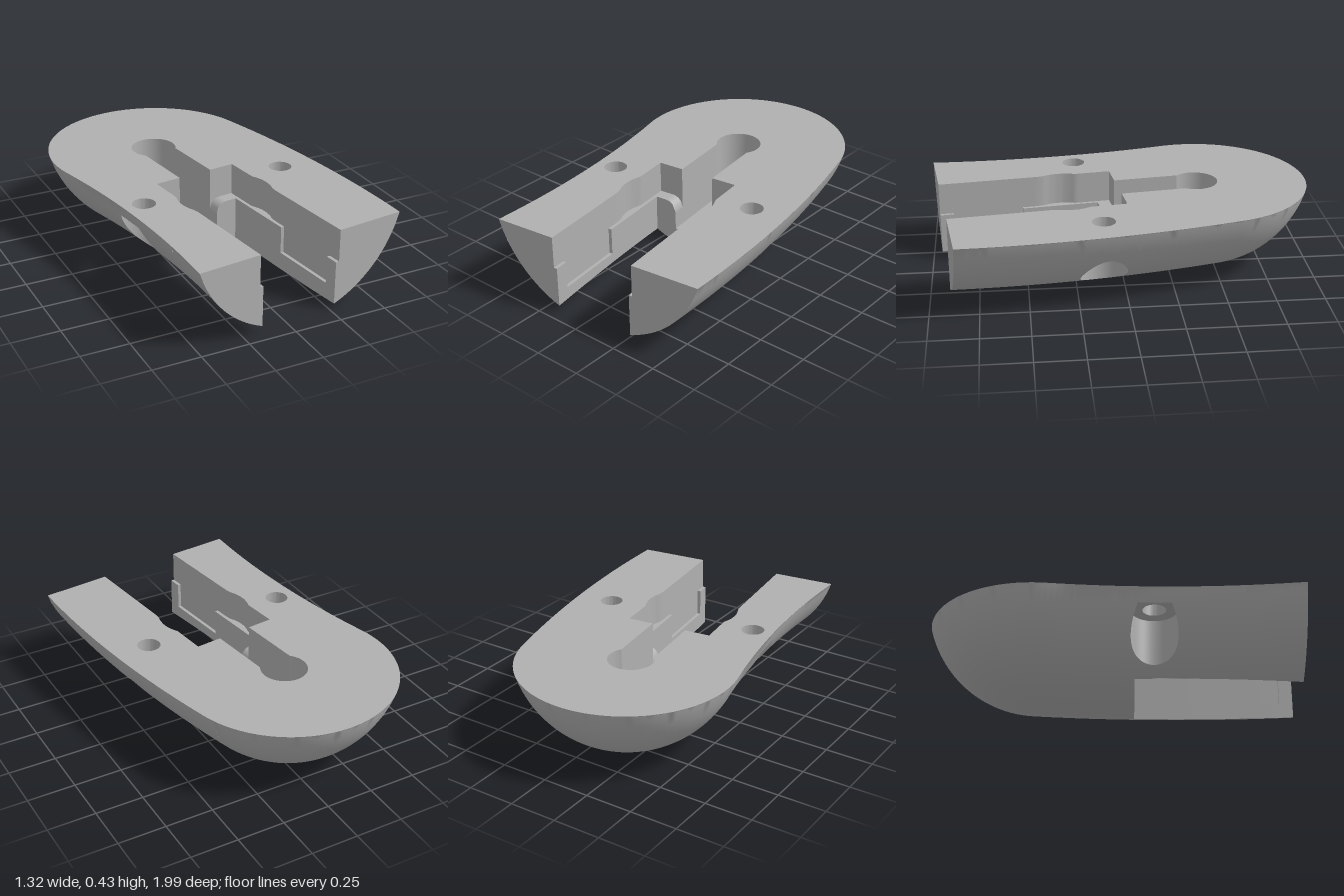
import * as THREE from 'three';
import { toCreasedNormals } from 'three/addons/utils/BufferGeometryUtils.js';

const V = (x, z) => new THREE.Vector2(x, z);
const TOP = 0.43;      // height of the flat top
const LEDGE = 0.26;    // ledge around the slot
const NOTCH = 0.115;   // floor of the side notches
const KEY = 0.1;       // floor of the keyhole
const BORE = 0.355;    // ceiling of the counterbores

// Body: a round-bottomed section swept along a gentle arc, ending in a round head
const ARC = { x: -5.325, z: 0.92, r: 5.4, end: 0.2534 };
const HEAD = { x: -0.0975, z: -0.434, r: 0.566 };
const halfWidth = a => 0.578 - 0.012 * THREE.MathUtils.clamp(a / ARC.end, 0, 1);

function underY(x, z) {
  const a = Math.atan2(ARC.z - z, x - ARC.x);
  const inHead = a > ARC.end;
  const d = inHead ? Math.hypot(x - HEAD.x, z - HEAD.z)
    : Math.abs(Math.hypot(x - ARC.x, z - ARC.z) - ARC.r);
  const w = inHead ? HEAD.r : halfWidth(a);
  const R = (w * w + TOP * TOP) / (2 * TOP);
  return Math.min(TOP, R - Math.sqrt(Math.max(0, R * R - d * d)));
}

// Slot frame: u across, v towards the front
const C = Math.cos(0.117), S = Math.sin(0.117), O = V(-0.043, 0.075);
const W = (u, v) => V(O.x + u * C + v * S, O.y - u * S + v * C);
const path = list => list.map(([u, v]) => W(u, v));
const FRONT = 0.856, BACK = -0.067, IN = 0.214, OUT = 0.232, NECK = 0.094;

// Ledge height, rounded over beside the keyhole channel
function ledgeY(x, z) {
  const u = Math.abs((x - O.x) * C - (z - O.y) * S);
  const d = Math.min(0.06, Math.max(0, 0.154 - u));
  return LEDGE - 0.06 + Math.sqrt(0.0036 - d * d);
}

const heightAt = (h, p) => (typeof h === 'function' ? h(p.x, p.y) : h);

export function createModel() {
  const group = new THREE.Group();
  const material = new THREE.MeshStandardMaterial({ color: 0xb0b0b0, side: THREE.DoubleSide });
  material.name = 'plain grey';

  function add(name, geometry) {
    const mesh = new THREE.Mesh(geometry, material);
    mesh.name = name;
    group.add(mesh);
  }

  // Sheet over a plan outline; long edges are halved so it can follow a curved height
  function sheet(name, contour, holes, h, up, maxEdge = Infinity) {
    const pts = [contour, ...holes].flat();
    const stack = THREE.ShapeUtils.triangulateShape(contour, holes).map(f => f.map(i => pts[i]));
    const pos = [], nor = [], e = 0.001;
    while (stack.length) {
      let t = stack.pop();
      const len = t.map((p, i) => p.distanceTo(t[(i + 1) % 3]));
      const k = len.indexOf(Math.max(...len));
      if (len[k] > maxEdge) {
        const [a, b, c] = [t[k], t[(k + 1) % 3], t[(k + 2) % 3]];
        const m = a.clone().add(b).multiplyScalar(0.5);
        stack.push([a, m, c], [m, b, c]);
        continue;
      }
      const area = (t[1].x - t[0].x) * (t[2].y - t[0].y) - (t[1].y - t[0].y) * (t[2].x - t[0].x);
      if ((area < 0) !== up) t = [t[0], t[2], t[1]];
      for (const p of t) {
        pos.push(p.x, heightAt(h, p), p.y);
        const slope = (dx, dz) =>
          (heightAt(h, V(p.x + dx, p.y + dz)) - heightAt(h, V(p.x - dx, p.y - dz))) / (2 * e);
        const n = new THREE.Vector3(-slope(e, 0), 1, -slope(0, e)).normalize();
        if (!up) n.negate();
        nor.push(n.x, n.y, n.z);
      }
    }
    const g = new THREE.BufferGeometry();
    g.setAttribute('position', new THREE.Float32BufferAttribute(pos, 3));
    g.setAttribute('normal', new THREE.Float32BufferAttribute(nor, 3));
    add(name, g);
  }

  // Upright wall along a plan path, between two heights
  function wall(name, pts, lo, hi) {
    const pos = [];
    for (let i = 0; i + 1 < pts.length; i++) {
      const n = Math.max(1, Math.ceil(pts[i].distanceTo(pts[i + 1]) / 0.02));
      for (let j = 0; j < n; j++) {
        const a = pts[i].clone().lerp(pts[i + 1], j / n);
        const b = pts[i].clone().lerp(pts[i + 1], (j + 1) / n);
        const [a0, a1, b0, b1] = [heightAt(lo, a), heightAt(hi, a), heightAt(lo, b), heightAt(hi, b)];
        pos.push(a.x, a0, a.y, b.x, b0, b.y, b.x, b1, b.y, a.x, a0, a.y, b.x, b1, b.y, a.x, a1, a.y);
      }
    }
    const g = new THREE.BufferGeometry();
    g.setAttribute('position', new THREE.Float32BufferAttribute(pos, 3));
    add(name, toCreasedNormals(g, 0.5));
  }

  // Outer plan outline, from the front left-hand +x corner round the head
  const outline = [];
  const edge = (a, side) => {
    const r = ARC.r + side * halfWidth(a);
    outline.push(V(ARC.x + r * Math.cos(a), ARC.z - r * Math.sin(a)));
  };
  for (let i = 0; i <= 50; i++) edge(THREE.MathUtils.lerp(0.0109, ARC.end, i / 50), 1);
  for (let i = 1; i < 70; i++) {
    const a = ARC.end + Math.PI * i / 70;
    outline.push(V(HEAD.x + HEAD.r * Math.cos(a), HEAD.z - HEAD.r * Math.sin(a)));
  }
  for (let i = 0; i <= 50; i++) edge(THREE.MathUtils.lerp(ARC.end, -0.0145, i / 50), -1);

  // Half of the upper slot: side with its hollow, then the keyhole
  const side = [[OUT, 0.41], [OUT, 0.33], [0.236, 0.295], [0.247, 0.265], [0.253, 0.225],
    [0.252, 0.185], [0.243, 0.15], [OUT, 0.12], [OUT, BACK]];
  const key = [[NECK, BACK]];
  for (let i = 0; i <= 24; i++) {
    const a = THREE.MathUtils.lerp(0.9, Math.PI, i / 24);
    key.push([0.12 * Math.sin(a), -0.487 + 0.12 * Math.cos(a)]);
  }
  const mirror = list => list.map(([u, v]) => [-u, v]);
  const half = [[OUT, FRONT], ...side, ...key];
  const upperSlot = path([...mirror(half), ...half.slice(0, -1).reverse()]);
  const lowerSlot = path([[-IN, FRONT], [-IN, 0], [IN, 0], [IN, FRONT]]);

  // Screw holes with wide counterbores from below
  const bores = [], screws = [];
  for (const [x, z] of [[0.395, 0.12], [-0.435, 0.22]]) {
    const bore = [], screw = [];
    for (let i = 0; i < 48; i++) {
      const c = Math.cos(i * Math.PI / 24), s = Math.sin(i * Math.PI / 24);
      let r = 0.12;
      while (underY(x + r * c, z + r * s) > BORE) r -= 0.001;
      bore.push(V(x + r * c, z + r * s));
      screw.push(V(x + 0.06 * c, z + 0.06 * s));
    }
    bores.push(bore);
    screws.push(screw);
    wall('counterboreWall', [...bore, bore[0]], underY, BORE);
    wall('screwHoleWall', [...screw, screw[0]], BORE, TOP);
    sheet('counterboreCeiling', bore, [screw], BORE, false);
  }

  // Main skins
  sheet('topFace', [...outline, ...upperSlot], screws, TOP, true);
  sheet('underside', [...outline, ...lowerSlot], bores, underY, false, 0.04);

  // Keyhole floor and the wall below its mouth
  const keyFloor = [[NECK, 0], ...key];
  sheet('keyholeFloor', path([...mirror(keyFloor), ...keyFloor.slice(0, -1).reverse()]), [], KEY, true);
  wall('keyholeSill', path([[-NECK, 0], [NECK, 0]]), underY, KEY);

  // Everything that repeats on both sides of the slot
  for (const m of [1, -1]) {
    const P = list => path(list.map(([u, v]) => [m * u, v]));
    wall('keyholeWall', P(key), KEY, TOP);
    wall('channelWall', P([[NECK, BACK], [NECK, 0]]), KEY, LEDGE - 0.06);
    wall('backWall', P([[OUT, BACK], [IN, BACK], [NECK, BACK]]), ledgeY, TOP);
    wall('lowerBackWall', P([[IN, 0], [NECK, 0]]), underY, ledgeY);
    sheet('backLedge', P([[NECK, BACK], [IN, BACK], [IN, 0], [NECK, 0]]), [], ledgeY, true, 0.01);
    wall('hollowWall', P(side), LEDGE, TOP);
    sheet('sideLedge', P([[IN, 0.41], ...side, [IN, BACK]]), [], LEDGE, true);
    for (const [v0, v1, h] of [[0, 0.41, LEDGE], [0.41, 0.785, NOTCH], [0.785, FRONT, LEDGE]]) {
      wall('lowerSideWall', P([[IN, v0], [IN, v1]]), underY, h);
      if (v0 === 0) continue;
      wall('upperSideWall', P([[OUT, v0], [OUT, v1]]), h, TOP);
      sheet('notchFloor', P([[IN, v0], [OUT, v0], [OUT, v1], [IN, v1]]), [], h, true);
      wall('notchStep', P([[IN, v0], [OUT, v0]]), NOTCH, LEDGE);
    }
    // Flat front end of the arm
    const corner = m > 0 ? outline[0] : outline[outline.length - 1];
    wall('armEndPost', P([[IN, FRONT], [OUT, FRONT]]), underY, LEDGE);
    wall('armEnd', [...P([[OUT, FRONT]]), corner], underY, TOP);
  }
  return group;
}
